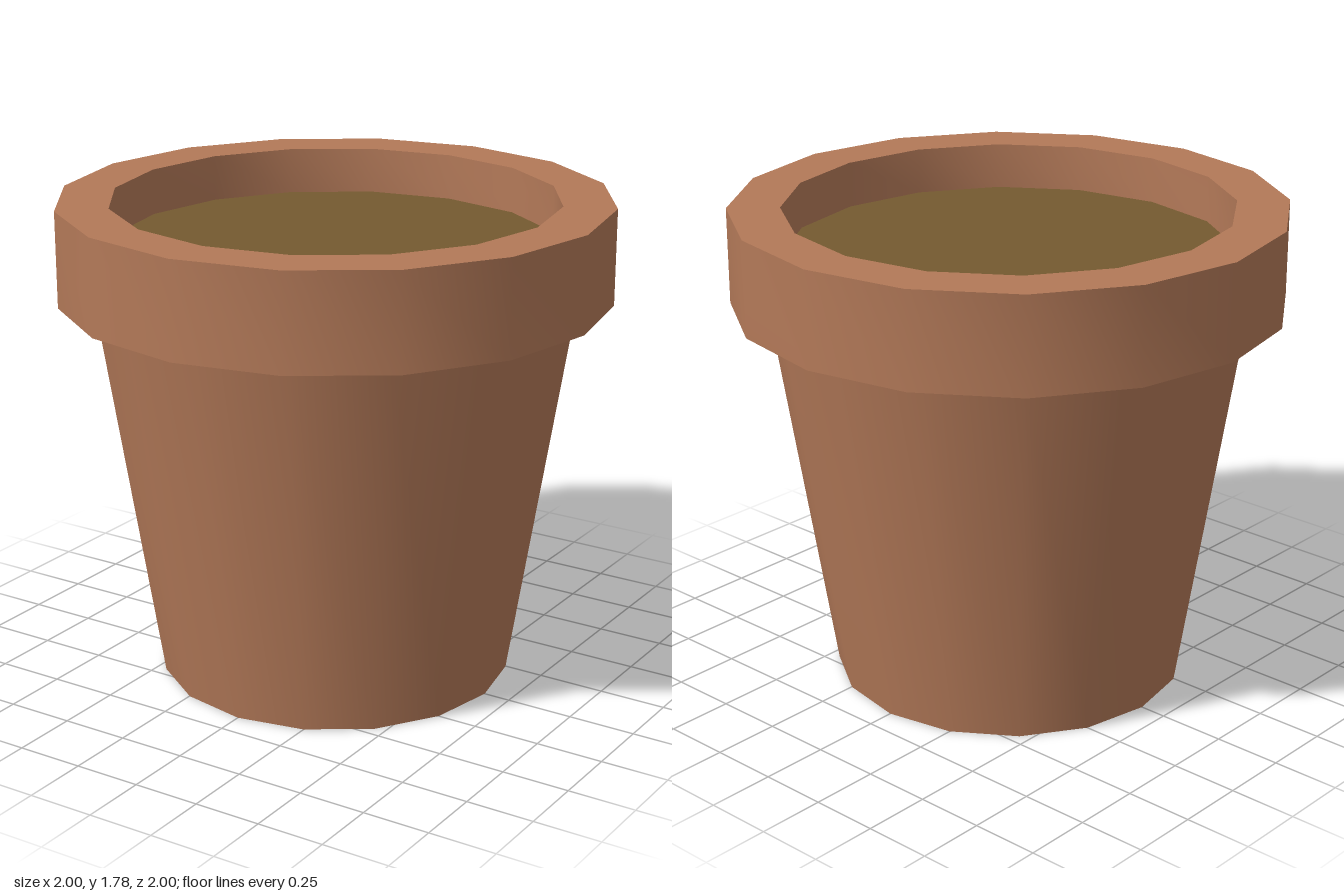
import * as THREE from 'three';
import { toCreasedNormals } from 'three/addons/utils/BufferGeometryUtils.js';

const SIDES = 16;

// Revolves [radius, height] points; sides stay smooth, profile corners stay sharp
function revolve(points) {
  const profile = points.map(([r, y]) => new THREE.Vector2(r, y));
  return toCreasedNormals(new THREE.LatheGeometry(profile, SIDES), 0.6);
}

// Horizontal disc facing up (1) or down (-1)
function disc(radius, y, facing) {
  return new THREE.CircleGeometry(radius, SIDES)
    .rotateX(-facing * Math.PI / 2)
    .translate(0, y, 0);
}

export function createModel() {
  const group = new THREE.Group();
  group.name = 'flowerPot';

  const clay = new THREE.MeshStandardMaterial({ color: 0xb37958 });
  const earth = new THREE.MeshStandardMaterial({ color: 0x755a30 });

  const add = (name, geometry, material) => {
    const mesh = new THREE.Mesh(geometry, material);
    mesh.name = name;
    group.add(mesh);
  };

  // Tapered body and its flat bottom
  add('body', revolve([[0.65, 0], [0.87, 1.43]]), clay);
  add('base', disc(0.65, 0, -1), clay);

  // Overhanging rim: underside, outer wall, top and inner wall
  add('rim', revolve([[0.87, 1.43], [1, 1.43], [1, 1.78], [0.81, 1.78], [0.81, 1.61]]), clay);

  // Soil surface sunk below the rim
  add('soil', disc(0.81, 1.61, 1), earth);

  return group;
}
